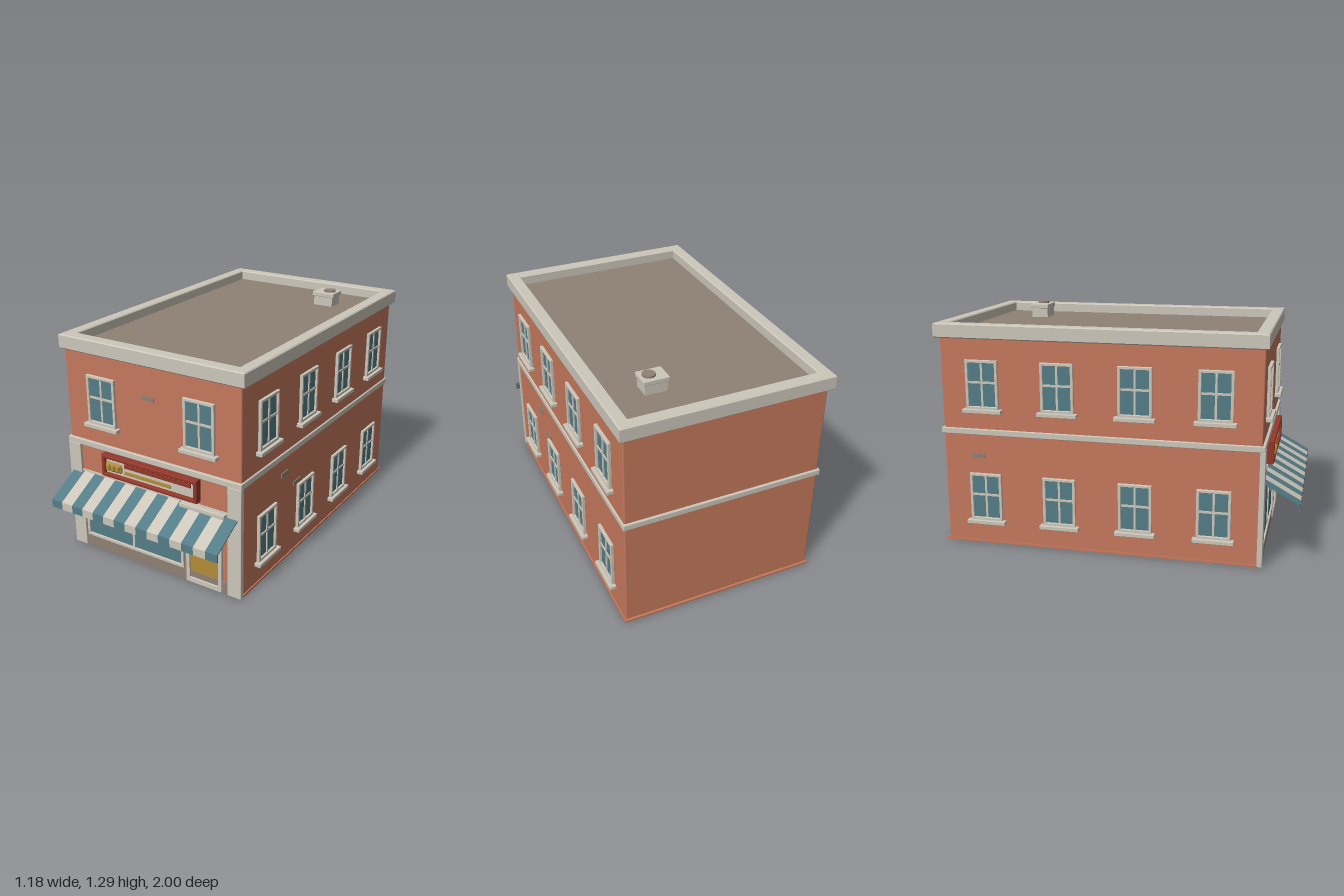
import * as THREE from 'three';
import { RoundedBoxGeometry } from 'three/addons/geometries/RoundedBoxGeometry.js';

const material = (name, color, side = THREE.FrontSide) => {
  const m = new THREE.MeshStandardMaterial({ color, side });
  m.name = name;
  return m;
};

export function createModel() {
  const brick = material('brick', 0xc5785c);
  const cream = material('cream trim', 0xcdc7ba);
  const taupe = material('taupe stone', 0x8f8175);
  const teal = material('teal', 0x547d87);
  const gold = material('gold', 0xb38c39);
  const red = material('dark red', 0x94382b);

  const building = new THREE.Group();
  building.name = 'shopBuilding';

  const add = (parent, name, geometry, mat) => {
    const mesh = new THREE.Mesh(geometry, mat);
    mesh.name = name;
    parent.add(mesh);
    return mesh;
  };

  // Box given by its limits; r rounds the edges
  const box = (parent, name, mat, [x0, x1], [y0, y1], [z0, z1], r = 0) => {
    const size = [x1 - x0, y1 - y0, z1 - z0];
    const geo = r ? new RoundedBoxGeometry(...size, 2, r) : new THREE.BoxGeometry(...size);
    const mesh = add(parent, name, geo, mat);
    mesh.position.set((x0 + x1) / 2, (y0 + y1) / 2, (z0 + z1) / 2);
    return mesh;
  };

  const rect = (Type, x0, x1, y0, y1) => {
    const p = new Type();
    p.moveTo(x0, y0).lineTo(x1, y0).lineTo(x1, y1).lineTo(x0, y1).closePath();
    return p;
  };

  // Rectangular ring with a bevelled edge, extruded towards +z
  const ring = (outer, inner, depth, bevel) => {
    const shape = rect(THREE.Shape, ...outer);
    shape.holes.push(rect(THREE.Path, ...inner));
    const geo = new THREE.ExtrudeGeometry(shape, {
      depth: depth - 2 * bevel, bevelSize: bevel, bevelThickness: bevel,
      bevelOffset: -bevel, bevelSegments: 1,
    });
    return geo.translate(0, 0, bevel);
  };

  // Walls, plinth, band and roof
  box(building, 'walls', brick, [-0.553, 0.553], [0, 1.19], [-0.972, 0.797], 0.008);
  box(building, 'plinth', brick, [-0.56, 0.56], [0, 0.012], [-0.985, 0.8]);
  box(building, 'floorBand', cream, [-0.562, 0.562], [0.632, 0.667], [-0.985, 0.812], 0.005);
  box(building, 'roofDeck', taupe, [-0.52, 0.52], [1.185, 1.195], [-0.95, 0.76]);
  const cornice = add(building, 'cornice',
    ring([-0.577, 0.577, -0.814, 1], [-0.508, 0.508, -0.742, 0.93], 0.08, 0.006), cream);
  cornice.rotation.x = -Math.PI / 2;
  cornice.position.y = 1.17;

  // Rooftop vent unit
  const vent = new THREE.Group();
  vent.name = 'roofVent';
  building.add(vent);
  box(vent, 'ventBox', cream, [0.205, 0.325], [1.19, 1.265], [-0.71, -0.61]);
  box(vent, 'ventLid', cream, [0.195, 0.335], [1.25, 1.276], [-0.716, -0.604], 0.004);
  add(vent, 'ventFan', new THREE.CylinderGeometry(0.035, 0.035, 0.012, 24), taupe)
    .position.set(0.285, 1.28, -0.66);

  // Four-pane sash window standing on its sill, facing +z
  const sashWindow = (x, y, z, turn) => {
    const w = new THREE.Group();
    w.name = 'sashWindow';
    add(w, 'windowFrame', ring([-0.093, 0.093, 0, 0.274], [-0.077, 0.077, 0.016, 0.258], 0.018, 0.002), cream);
    box(w, 'windowGlass', teal, [-0.08, 0.08], [0.01, 0.262], [-0.002, 0.006]);
    box(w, 'verticalBar', cream, [-0.006, 0.006], [0.012, 0.26], [0, 0.012]);
    box(w, 'horizontalBar', cream, [-0.078, 0.078], [0.144, 0.156], [0, 0.012]);
    box(w, 'windowSill', cream, [-0.112, 0.112], [-0.02, 0.002], [-0.004, 0.036], 0.003);
    w.position.set(x, y, z);
    w.rotation.y = turn;
    building.add(w);
  };
  for (const x of [-0.311, 0.311]) sashWindow(x, 0.781, 0.797, 0);
  for (const side of [-1, 1])
    for (const y of [0.138, 0.781])
      for (let i = 0; i < 4; i++)
        sashWindow(side * 0.553, y, 0.551 - i * 0.428, side * Math.PI / 2);

  // Loose accent bricks
  box(building, 'accentBrick', taupe, [-0.04, 0.033], [0.984, 1.006], [0.79, 0.803]);
  box(building, 'accentBrick', taupe, [0.03, 0.14], [0.234, 0.258], [0.79, 0.81]);
  box(building, 'accentBrick', taupe, [0.545, 0.559], [0.521, 0.549], [0.32, 0.395]);
  box(building, 'accentBrick', taupe, [0.545, 0.559], [0.42, 0.444], [0.18, 0.255]);
  box(building, 'accentBrick', taupe, [-0.559, -0.545], [0.5, 0.525], [-0.81, -0.735]);

  // Shop front
  const shop = new THREE.Group();
  shop.name = 'shopFront';
  building.add(shop);
  for (const s of [-1, 1]) {
    const x = s * 0.52;
    box(shop, 'pilaster', cream, [x - 0.041, x + 0.041], [0, 0.636], [0.785, 0.814], 0.003);
  }
  box(shop, 'baseCourse', taupe, [-0.48, 0.217], [0, 0.066], [0.79, 0.807]);
  box(shop, 'baseCourse', taupe, [0.44, 0.48], [0, 0.066], [0.79, 0.807]);
  box(shop, 'fasciaStrip', cream, [-0.48, 0.48], [0.47, 0.48], [0.79, 0.805]);
  box(shop, 'shopGlass', teal, [-0.46, 0.19], [0.075, 0.45], [0.793, 0.801]);
  add(shop, 'shopWindowFrame',
    ring([-0.47, 0.2, 0.068, 0.46], [-0.453, 0.183, 0.086, 0.444], 0.018, 0.002), cream)
    .position.z = 0.793;
  box(shop, 'shopMullion', cream, [-0.144, -0.13], [0.08, 0.45], [0.793, 0.808]);
  add(shop, 'doorFrame', ring([0.218, 0.442, 0, 0.45], [0.24, 0.42, 0.03, 0.425], 0.02, 0.002), cream)
    .position.z = 0.793;
  box(shop, 'door', gold, [0.238, 0.422], [0.064, 0.43], [0.79, 0.802]);
  box(shop, 'kickPlate', taupe, [0.238, 0.422], [0.028, 0.066], [0.79, 0.804]);
  box(shop, 'doorLintel', cream, [0.195, 0.47], [0.452, 0.475], [0.79, 0.833], 0.003);

  // Striped awning: one bent thin strip per stripe
  const awning = new THREE.Group();
  awning.name = 'awning';
  building.add(awning);
  const profile = new THREE.Shape([
    [0.8, 0.47], [0.815, 0.462], [1, 0.36], [1, 0.315], [0.994, 0.315], [0.994, 0.356], [0.8, 0.463],
  ].map(([z, y]) => new THREE.Vector2(z, y)));
  const stripes = 15, stripeWidth = 1.08 / stripes;
  const stripeGeo = new THREE.ExtrudeGeometry(profile, { depth: stripeWidth, bevelEnabled: false });
  stripeGeo.rotateY(-Math.PI / 2);
  for (let i = 0; i < stripes; i++)
    add(awning, 'awningStripe', stripeGeo, i % 2 ? cream : teal).position.x = -0.54 + (i + 1) * stripeWidth;

  // Sign board with plain bars and a loaf emblem
  const sign = new THREE.Group();
  sign.name = 'signBoard';
  building.add(sign);
  box(sign, 'signBack', red, [-0.3, 0.3], [0.508, 0.62], [0.79, 0.82]);
  add(sign, 'signBorder', ring([-0.31, 0.31, 0.5, 0.628], [-0.288, 0.288, 0.521, 0.607], 0.046, 0.005), red)
    .position.z = 0.795;
  box(sign, 'signPanel', cream, [-0.284, 0.284], [0.524, 0.604], [0.815, 0.827]);
  box(sign, 'signUpperBar', red, [-0.158, 0.27], [0.577, 0.601], [0.824, 0.832]);
  box(sign, 'signLowerBar', gold, [-0.158, 0.145], [0.539, 0.557], [0.824, 0.832]);
  box(sign, 'loafBody', gold, [-0.285, -0.176], [0.537, 0.589], [0.815, 0.84], 0.012);
  for (let i = 0; i < 3; i++) {
    const x = -0.262 + i * 0.031;
    box(sign, 'loafLump', gold, [x - 0.014, x + 0.014], [0.543, 0.585], [0.825, 0.85], 0.01);
  }

  return building;
}
